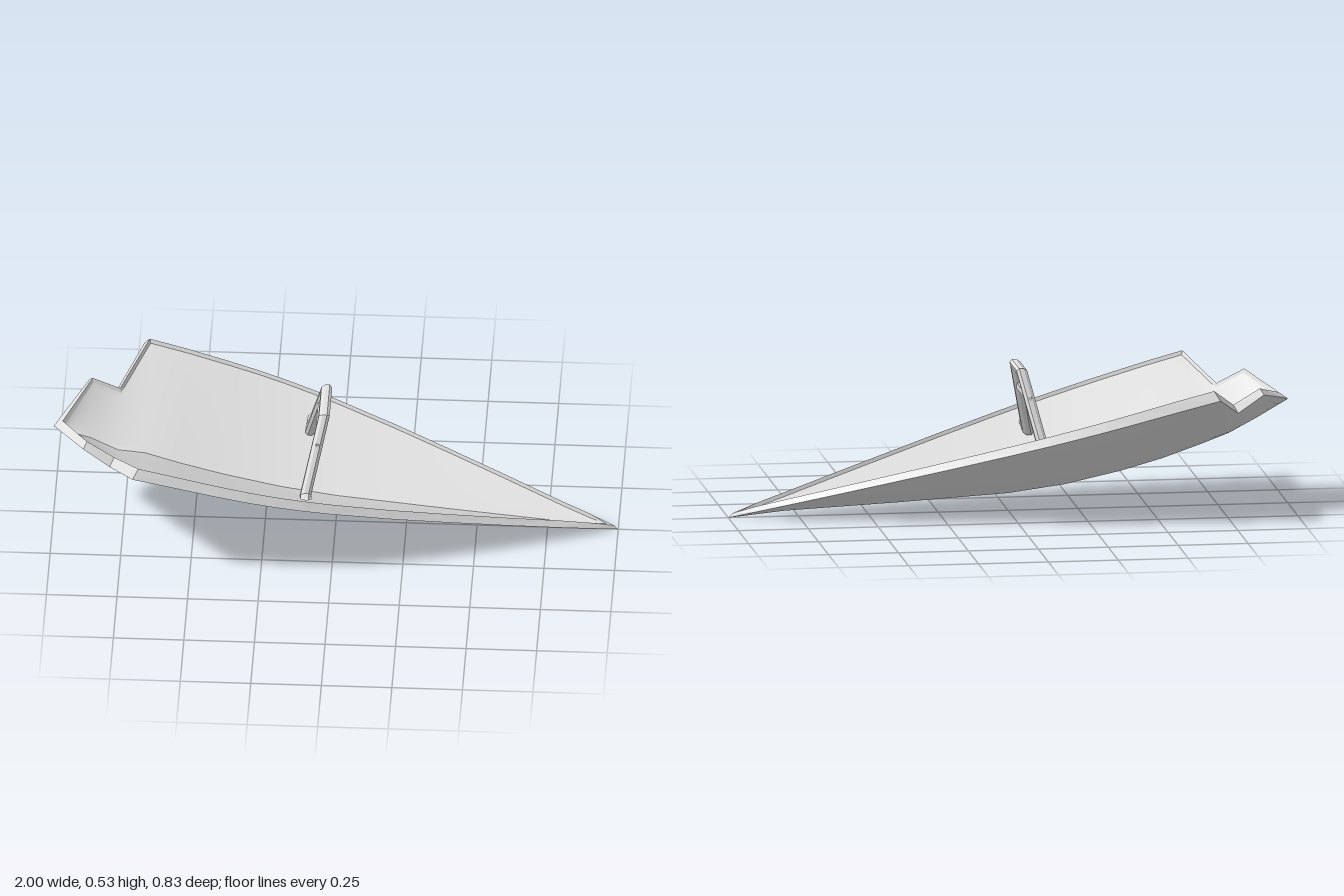
import * as THREE from 'three';

const shellGrey = new THREE.MeshStandardMaterial({ color: 0xe0e0e0 });
shellGrey.name = 'shellGrey';

// Bottom ridge height along x
const keelPoints = [[-1, 0.378], [-0.885, 0.312], [-0.79, 0.262], [-0.6, 0.19], [-0.4, 0.135], [-0.2, 0.092],
  [0, 0.066], [0.4, 0.043], [0.8, 0.024], [1, 0.004]];
function keel(x) {
  const p = keelPoints;
  let i = 0;
  while (i < p.length - 2 && x > p[i + 1][0]) i++;
  const t = (x - p[i][0]) / (p[i + 1][0] - p[i][0]);
  return p[i][1] + t * (p[i + 1][1] - p[i][1]);
}

// Half outline [x, z] from the point to the wide shoulder
const sides = [[1, 0], [0.9, 0.038], [0.8, 0.075], [0.6, 0.145], [0.4, 0.212], [0.2, 0.276], [0, 0.332],
  [-0.1, 0.356], [-0.2, 0.375], [-0.3, 0.389], [-0.4, 0.398], [-0.55, 0.407]];

// Three rim lines of [x, y, z], ending with the notched blunt end
const outerEdge = sides.map(([x, z]) => [x, 0.004 + 0.266 * (1 - x), z])
  .concat([[-0.7, 0.455, 0.415], [-0.79, 0.375, 0.232], [-0.885, 0.435, 0.212], [-1, 0.38, 0]]);
const topEdge = sides.map(([x, z]) => [x - (z ? 0 : 0.015), 0.02 + 0.28 * (1 - x), Math.max(0, z - Math.min(0.017, z * 0.3))])
  .concat([[-0.68, 0.488, 0.395], [-0.775, 0.402, 0.21], [-0.872, 0.455, 0.193], [-0.968, 0.403, 0]]);
const innerEdge = topEdge.map(([x, y, z]) => (z
  ? [x + 0.003, y - 0.015, z - Math.min(0.006, z * 0.2)]
  : x > 0 ? [x - 0.025, y + 0.006, 0] : [x + 0.008, y - 0.015, 0]));

// Cross-section from the ridge out to a rim line; lift is the share of the depth filled by the wall
function ribs(edge, lift, curve) {
  const n = 10;
  return edge.map(([x, y, z]) => {
    const k = Math.min(y, keel(x) + lift * (y - keel(x)));
    return Array.from({ length: n + 1 }, (_, j) => {
      const t = j / n;
      return [x, k + (y - k) * Math.pow(t, curve), z * t];
    });
  });
}

// Skin rows of points, on either side of the ridge
function skin(name, rows, side, flip, flat) {
  const n = rows[0].length, pos = [], idx = [];
  rows.forEach(r => r.forEach(([x, y, z]) => pos.push(x, y, z * side)));
  for (let i = 0; i < rows.length - 1; i++) {
    for (let j = 0; j < n - 1; j++) {
      const a = i * n + j, b = a + n, c = a + 1, d = b + 1;
      if (flip !== (side < 0)) idx.push(a, c, b, b, c, d);
      else idx.push(a, b, c, b, d, c);
    }
  }
  let g = new THREE.BufferGeometry();
  g.setAttribute('position', new THREE.Float32BufferAttribute(pos, 3));
  g.setIndex(idx);
  if (flat) g = g.toNonIndexed();
  g.computeVertexNormals();
  const m = new THREE.Mesh(g, shellGrey);
  m.name = name;
  return m;
}

function box(name, w, h, d, x, y, z) {
  const m = new THREE.Mesh(new THREE.BoxGeometry(w, h, d), shellGrey);
  m.position.set(x, y, z);
  m.name = name;
  return m;
}

export function createModel() {
  const group = new THREE.Group();
  group.name = 'pointedShell';

  for (const side of [1, -1]) {
    const s = side > 0 ? 'Left' : 'Right';
    group.add(skin('outerShell' + s, ribs(outerEdge, 0, 1.15), side, true, false));
    group.add(skin('innerShell' + s, ribs(innerEdge, 0.22, 1.06), side, false, false));
    group.add(skin('rim' + s, outerEdge.map((p, i) => [p, topEdge[i]]), side, true, true));
    group.add(skin('rimLip' + s, topEdge.map((p, i) => [p, innerEdge[i]]), side, true, true));
  }

  // Bevelled handle frame with splayed feet, leaning toward the point
  const half = [[0.19, 0.236], [0.265, 0.28], [0.218, 0.275], [0.092, 0.53]];
  const outline = [...half, ...half.slice().reverse().map(([z, y]) => [-z, y]), [-0.076, 0.5], [0.076, 0.5]];
  const shape = new THREE.Shape(outline.map(([z, y]) => new THREE.Vector2(z, y)));
  const frame = new THREE.ExtrudeGeometry(shape, {
    depth: 0.016, bevelEnabled: true, bevelThickness: 0.011, bevelSize: 0.008, bevelOffset: -0.008, bevelSegments: 1,
  });
  frame.translate(0, 0, -0.008);
  frame.rotateY(Math.PI / 2);
  const lean = y => -0.035 - 0.23 * (0.53 - y);
  const p = frame.attributes.position;
  for (let i = 0; i < p.count; i++) p.setX(i, p.getX(i) + lean(p.getY(i)));
  frame.computeVertexNormals();
  const handle = new THREE.Group();
  handle.name = 'handle';
  const frameMesh = new THREE.Mesh(frame, shellGrey);
  frameMesh.name = 'handleFrame';
  handle.add(frameMesh);

  // Cross brace and its end pegs
  handle.add(box('handleBrace', 0.022, 0.02, 0.23, lean(0.432), 0.432, 0));
  for (const side of [1, -1]) handle.add(box('bracePeg', 0.014, 0.014, 0.02, lean(0.428), 0.428, side * 0.134));
  group.add(handle);
  return group;
}
